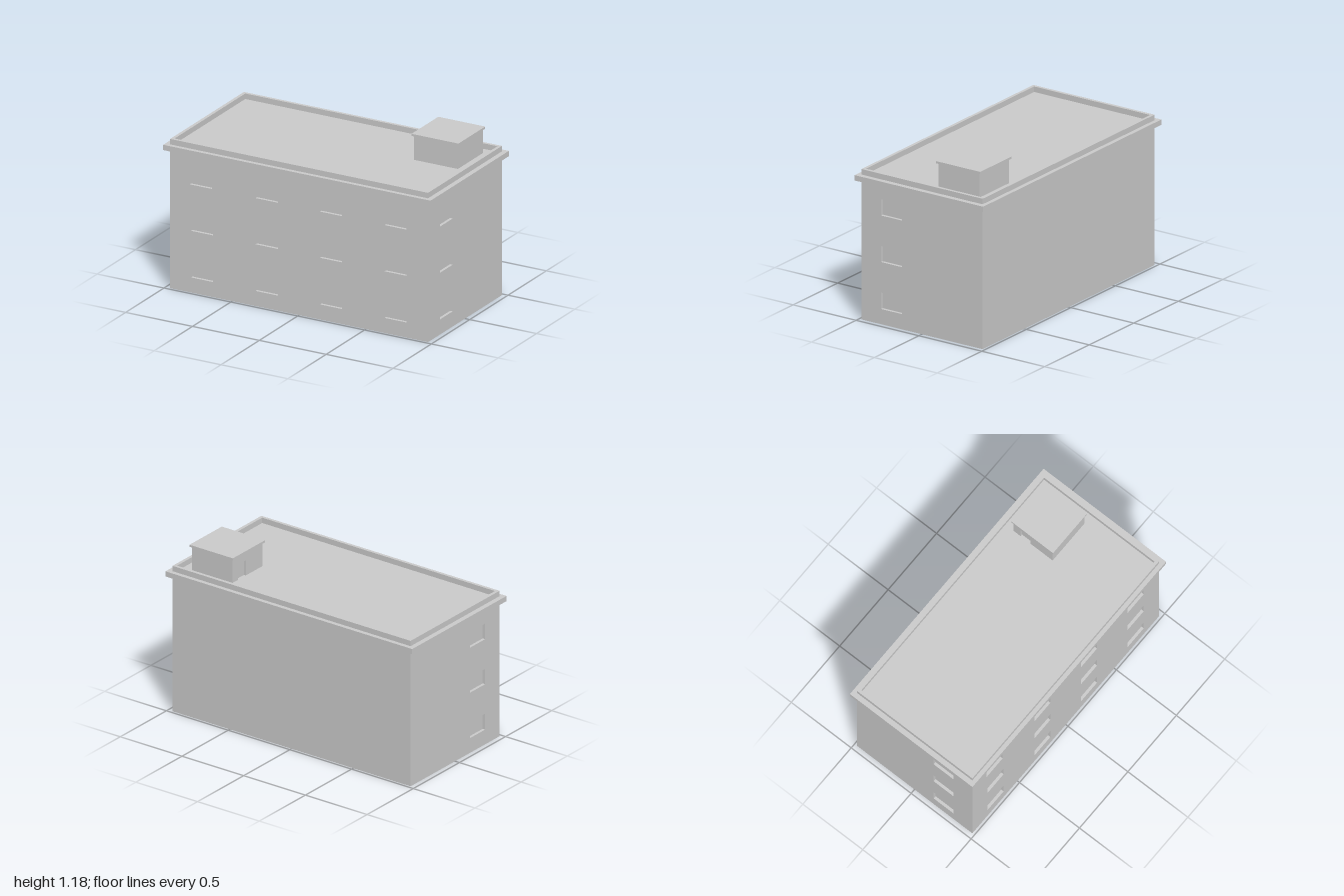
import * as THREE from 'three';

const material = new THREE.MeshStandardMaterial({ color: 0xcccccc, flatShading: true });

function add(parent, name, geometry) {
  const mesh = new THREE.Mesh(geometry, material);
  mesh.name = name;
  parent.add(mesh);
  return mesh;
}

// Box given by its limits on each axis
function box(parent, name, x0, x1, y0, y1, z0, z1) {
  const mesh = add(parent, name, new THREE.BoxGeometry(x1 - x0, y1 - y0, z1 - z0));
  mesh.position.set((x0 + x1) / 2, (y0 + y1) / 2, (z0 + z1) / 2);
  return mesh;
}

function rect(x0, x1, y0, y1, Type = THREE.Shape) {
  return new Type([[x0, y0], [x1, y0], [x1, y1], [x0, y1]].map(([x, y]) => new THREE.Vector2(x, y)));
}

// Slab with rectangular openings; each opening is [x0, x1, y0, y1]
function slab(x0, x1, y0, y1, depth, openings) {
  const shape = rect(x0, x1, y0, y1);
  for (const o of openings) shape.holes.push(rect(...o, THREE.Path));
  return new THREE.ExtrudeGeometry(shape, { depth, bevelEnabled: false });
}

export function createModel() {
  const building = new THREE.Group();
  building.name = 'building';

  const W = 0.965, D = 0.482, H = 0.965; // half width, half depth, wall height
  const recess = 0.02;
  const floors = [[0.105, 0.219], [0.43, 0.54], [0.752, 0.864]];

  // Inner block: back wall, and the window panes at the bottom of each recess
  box(building, 'wallCore', -W + recess, W - recess, 0, H, -D, D - recess);

  // Front wall with four windows per floor
  const frontWindows = [];
  floors.forEach(([y0, y1], floor) => {
    [-0.725, -0.242, 0.24, 0.722].forEach((cx, column) => {
      const c = floor === 2 && column === 0 ? cx - 0.01 : cx;
      frontWindows.push([c - 0.083, c + 0.083, y0, y1]);
    });
  });
  add(building, 'frontWall', slab(-W, W, 0, H, recess, frontWindows)).position.z = D - recess;

  // Side walls with one window per floor near the front
  for (const side of [-1, 1]) {
    const c = -side * 0.243;
    const ends = [side * D, -side * (D - recess)].sort((a, b) => a - b);
    const windows = floors.map(([y0, y1]) => [c - 0.083, c + 0.083, y0, y1]);
    const wall = add(building, side > 0 ? 'leftWall' : 'rightWall',
      slab(ends[0], ends[1], 0, H, recess, windows));
    wall.rotation.y = side * Math.PI / 2;
    wall.position.x = side * (W - recess);
  }

  // Cornice with the flat roof, and the parapet around it
  box(building, 'corniceAndRoof', -1, 1, H, 1.002, -0.511, 0.511);
  const parapet = add(building, 'parapet', slab(-W, W, -D, D, 0.038, [[-0.943, 0.943, -0.461, 0.461]]));
  parapet.rotation.x = -Math.PI / 2;
  parapet.position.y = 1.002;

  // Roof access hut with a recessed door on the inner side
  const hut = new THREE.Group();
  hut.name = 'roofHut';
  building.add(hut);
  const doorDepth = 0.015;
  box(hut, 'hutWalls', 0.544 + doorDepth, 0.873, 0.98, 1.17, -0.393, -0.067);
  const doorWall = add(hut, 'hutDoorWall',
    slab(-0.393, -0.067, 0.98, 1.17, doorDepth, [[-0.335, -0.25, 0.99, 1.11]]));
  doorWall.rotation.y = -Math.PI / 2;
  doorWall.position.x = 0.544 + doorDepth;
  box(hut, 'hutRoof', 0.533, 0.884, 1.17, 1.185, -0.405, -0.055);

  return building;
}
